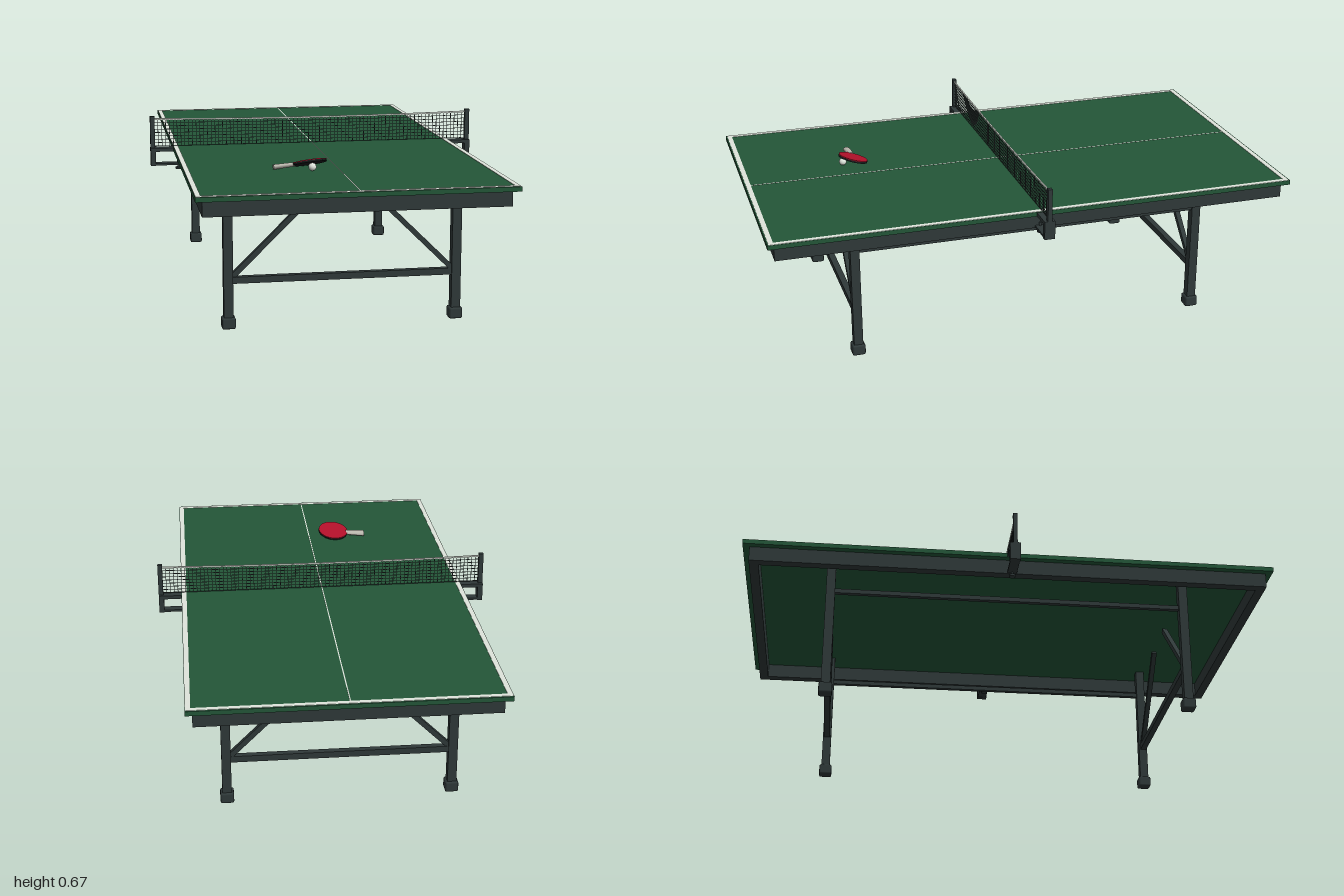
import * as THREE from 'three';
import { mergeGeometries } from 'three/addons/utils/BufferGeometryUtils.js';
import { RoundedBoxGeometry } from 'three/addons/geometries/RoundedBoxGeometry.js';

const mat = (name, color) => {
  const m = new THREE.MeshStandardMaterial({ color });
  m.name = name;
  return m;
};

export function createModel() {
  const green = mat('tableGreen', 0x235638);
  const metal = mat('darkMetal', 0x2f3939);
  const white = mat('lineWhite', 0xdfe5dc);
  const cord = mat('netCord', 0x35403d);
  const red = mat('rubberRed', 0xb01029);
  const black = mat('rubberBlack', 0x161a1a);
  const grip = mat('gripGrey', 0xb9b6ac);

  const model = new THREE.Group();
  model.name = 'tableTennisTable';

  const add = (name, geometry, material, x = 0, y = 0, z = 0, parent = model) => {
    const mesh = new THREE.Mesh(geometry, material);
    mesh.name = name;
    mesh.position.set(x, y, z);
    parent.add(mesh);
    return mesh;
  };
  const box = (name, w, h, d, material, x, y, z, parent) =>
    add(name, new THREE.BoxGeometry(w, h, d), material, x, y, z, parent);

  // Square bar between two points in a plane of constant z
  const bar = (name, x1, y1, x2, y2, z, size) => {
    const length = Math.hypot(x2 - x1, y2 - y1);
    const mesh = box(name, length, size, size, metal, (x1 + x2) / 2, (y1 + y2) / 2, z);
    mesh.rotation.z = Math.atan2(y2 - y1, x2 - x1);
  };

  // Playing surface with its painted lines
  const topY = 0.548;
  box('tabletop', 1.11, 0.017, 2, green, 0, topY - 0.0085, 0);
  box('centreLine', 0.004, 0.002, 1.96, white, 0, topY, 0);
  for (const s of [-1, 1]) {
    box('sideLine', 0.018, 0.002, 1.99, white, s * 0.5445, topY + 0.0005, 0);
    box('endLine', 1.072, 0.002, 0.018, white, 0, topY + 0.0005, s * 0.986);
  }

  // Open frame below the surface
  for (const s of [-1, 1]) {
    box('sideApron', 0.035, 0.056, 1.95, metal, s * 0.5135, 0.503, 0);
    box('endApron', 0.992, 0.056, 0.035, metal, 0, 0.503, s * 0.9575);
  }

  // Legs, feet and braces
  const legX = 0.416, legZ = 0.672;
  for (const sz of [-1, 1]) {
    const z = sz * legZ;
    for (const sx of [-1, 1]) {
      box('leg', 0.034, 0.515, 0.034, metal, sx * legX, 0.2735, z);
      add('foot', new RoundedBoxGeometry(0.05, 0.042, 0.05, 1, 0.007), metal, sx * legX, 0.021, z);
      bar('diagonalBrace', sx * 0.405, 0.185, sx * 0.1, 0.485, z, 0.019);
    }
    box('crossbar', 0.81, 0.024, 0.024, metal, 0, 0.177, z);
  }
  for (const sx of [-1, 1]) box('sideRail', 0.017, 0.017, 1.32, metal, sx * legX, 0.423, 0);

  // Net posts with their table clamps
  for (const s of [-1, 1]) {
    const clamp = new THREE.Group();
    clamp.name = 'netClamp';
    model.add(clamp);
    box('netPost', 0.018, 0.13, 0.016, metal, s * 0.635, 0.605, 0, clamp);
    box('clampBack', 0.02, 0.07, 0.04, metal, s * 0.634, 0.511, 0, clamp);
    box('clampUpperArm', 0.085, 0.014, 0.04, metal, s * 0.598, 0.539, 0, clamp);
    box('clampLowerArm', 0.12, 0.008, 0.036, metal, s * 0.582, 0.481, 0, clamp);
    add('clampScrew', new THREE.CylinderGeometry(0.005, 0.005, 0.035, 12), metal, s * 0.535, 0.48, 0, clamp);
    add('clampKnob', new THREE.CylinderGeometry(0.012, 0.012, 0.008, 16), metal, s * 0.535, 0.463, 0, clamp);
  }

  // Net: a mesh of cords sagging slightly toward the middle
  const half = 0.628, bottom = 0.552;
  const netTop = x => 0.659 - 0.007 * (1 - (x / half) ** 2);
  const sagStrip = (t, h, d) => {
    const g = new THREE.BoxGeometry(half * 2, h, d, 24, 1, 1);
    const p = g.attributes.position;
    for (let i = 0; i < p.count; i++) {
      p.setY(i, p.getY(i) + bottom + (netTop(p.getX(i)) - bottom) * t);
    }
    return g;
  };
  const cords = [];
  const columns = 84, rows = 8;
  for (let i = 0; i <= columns; i++) {
    const x = -half + (2 * half * i) / columns;
    const h = netTop(x) - bottom;
    cords.push(new THREE.BoxGeometry(0.002, h, 0.002).translate(x, bottom + h / 2, 0));
  }
  for (let j = 0; j < rows; j++) cords.push(sagStrip(j / rows, 0.002, 0.002));
  add('netMesh', mergeGeometries(cords), cord);
  add('netTape', sagStrip(1, 0.006, 0.005), white);

  // Bat leaning on the ball
  const bat = new THREE.Group();
  bat.name = 'bat';
  bat.position.set(-0.103, 0.573, 0.56);
  bat.rotation.set(-0.3, 0, 0.1);
  model.add(bat);
  const disc = (name, radius, h, material, y) =>
    add(name, new THREE.CylinderGeometry(radius, radius, h, 32).scale(1, 1, 0.92), material, 0, y, 0, bat);
  disc('redRubber', 0.062, 0.003, red, 0.0035);
  disc('bladeCore', 0.0625, 0.004, black, 0);
  disc('blackRubber', 0.062, 0.003, black, -0.0035);
  const handle = new THREE.CylinderGeometry(0.013, 0.016, 0.078, 16);
  handle.rotateZ(-Math.PI / 2).scale(1, 0.6, 1);
  add('batHandle', handle, grip, -0.094, 0, -0.006, bat);

  add('ball', new THREE.SphereGeometry(0.0145, 24, 16), white, -0.1, 0.5635, 0.602);

  return model;
}
